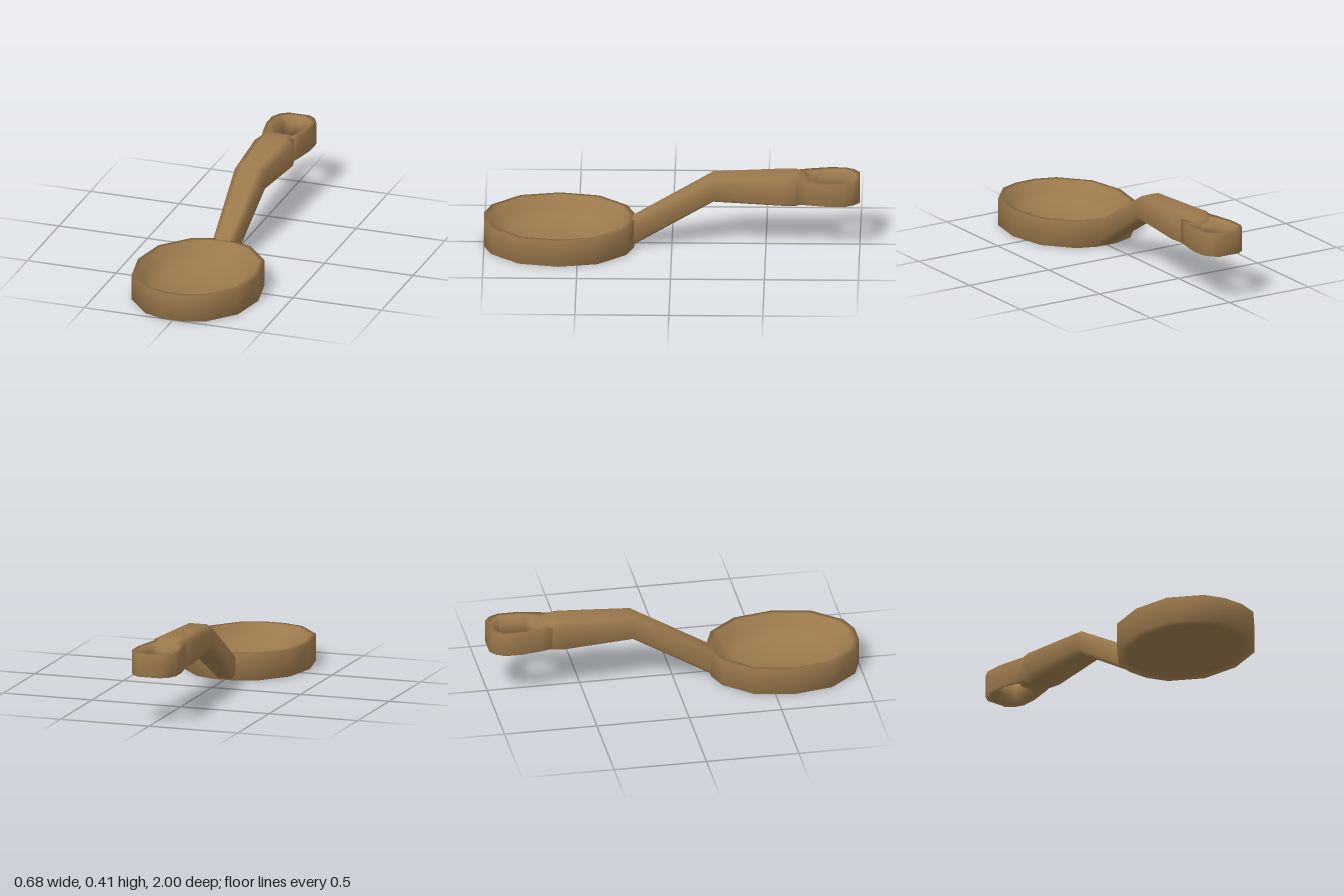
import * as THREE from 'three';
import { mergeVertices } from 'three/addons/utils/BufferGeometryUtils.js';

const wood = new THREE.MeshStandardMaterial({ color: 0x9a784b });
wood.name = 'warm wood';

// Skin a series of closed loops of [x, y, z] points with smooth normals
function loft(name, loops, wrap = false) {
  const n = loops[0].length;
  const index = [];
  const rows = wrap ? loops.length : loops.length - 1;
  for (let i = 0; i < rows; i++) {
    const k = (i + 1) % loops.length;
    for (let j = 0; j < n; j++) {
      const a = i * n + j, b = i * n + (j + 1) % n;
      const c = k * n + (j + 1) % n, d = k * n + j;
      index.push(a, b, c, a, c, d);
    }
  }
  let geo = new THREE.BufferGeometry();
  geo.setAttribute('position', new THREE.Float32BufferAttribute(loops.flat(2), 3));
  geo.setIndex(index);
  geo = mergeVertices(geo, 1e-4);
  geo.computeVertexNormals();
  const mesh = new THREE.Mesh(geo, wood);
  mesh.name = name;
  return mesh;
}

// Bowl: a faceted oval wall, flat underneath, with a hollow inside
function makeBowl() {
  const half = [[0.06, 0.4], [0.17, 0.36], [0.3, 0.21], [0.34, 0],
    [0.3, -0.21], [0.17, -0.36], [0.06, -0.4]];
  const outline = [...half, ...half.map(([x, z]) => [-x, z]).reverse()];
  const profile = [[0, 0], [0.85, 0], [1, 0], [1, 0.145], [0.92, 0.145],
    [0.84, 0.09], [0.68, 0.05], [0.4, 0.025], [0, 0.015]];
  return loft('bowl', profile.map(([s, y]) =>
    outline.map(([x, z]) => [x * s, y, 0.6 + z * s])));
}

// Handle: bevelled sections that rise from the bowl, then level off
function makeHandle() {
  const section = (z, w, y0, y1) => {
    const f = w * 0.58, b = 0.022;
    return [[-f, y1, z], [f, y1, z], [w, y1 - b, z], [w, y0 + b, z],
      [f, y0, z], [-f, y0, z], [-w, y0 + b, z], [-w, y1 - b, z]];
  };
  const point = (z, y) => Array.from({ length: 8 }, () => [0, y, z]);
  return loft('handle', [
    point(0.21, 0.07),
    section(0.21, 0.06, 0, 0.145),
    section(-0.22, 0.085, 0.26, 0.395),
    section(-0.6, 0.107, 0.243, 0.408),
    section(-0.66, 0.092, 0.241, 0.411),
    section(-0.73, 0.075, 0.255, 0.385),
    point(-0.73, 0.32),
  ]);
}

// Hanging loop: a rounded ring around a six-sided hole
function makeHangingLoop() {
  const half = [ // outer x, z and matching hole x, z
    [0.09, -0.66, 0, -0.74], [0.105, -0.72, 0.033, -0.76],
    [0.125, -0.83, 0.065, -0.78], [0.125, -0.92, 0.065, -0.92],
    [0.1, -0.97, 0.033, -0.935], [0.06, -1, 0, -0.95],
  ];
  const outline = [...half, ...half.map(([x, z, u, v]) => [-x, z, -u, v]).reverse()];
  const profile = [[0, 0.265], [0, 0.39], [0.45, 0.388], [1, 0.355],
    [1, 0.3], [0.45, 0.267]];
  return loft('hangingLoop', profile.map(([t, y]) =>
    outline.map(([x, z, u, v]) => [x + (u - x) * t, y, z + (v - z) * t])), true);
}

export function createModel() {
  const model = new THREE.Group();
  model.name = 'ladle';
  model.add(makeBowl(), makeHandle(), makeHangingLoop());
  return model;
}
